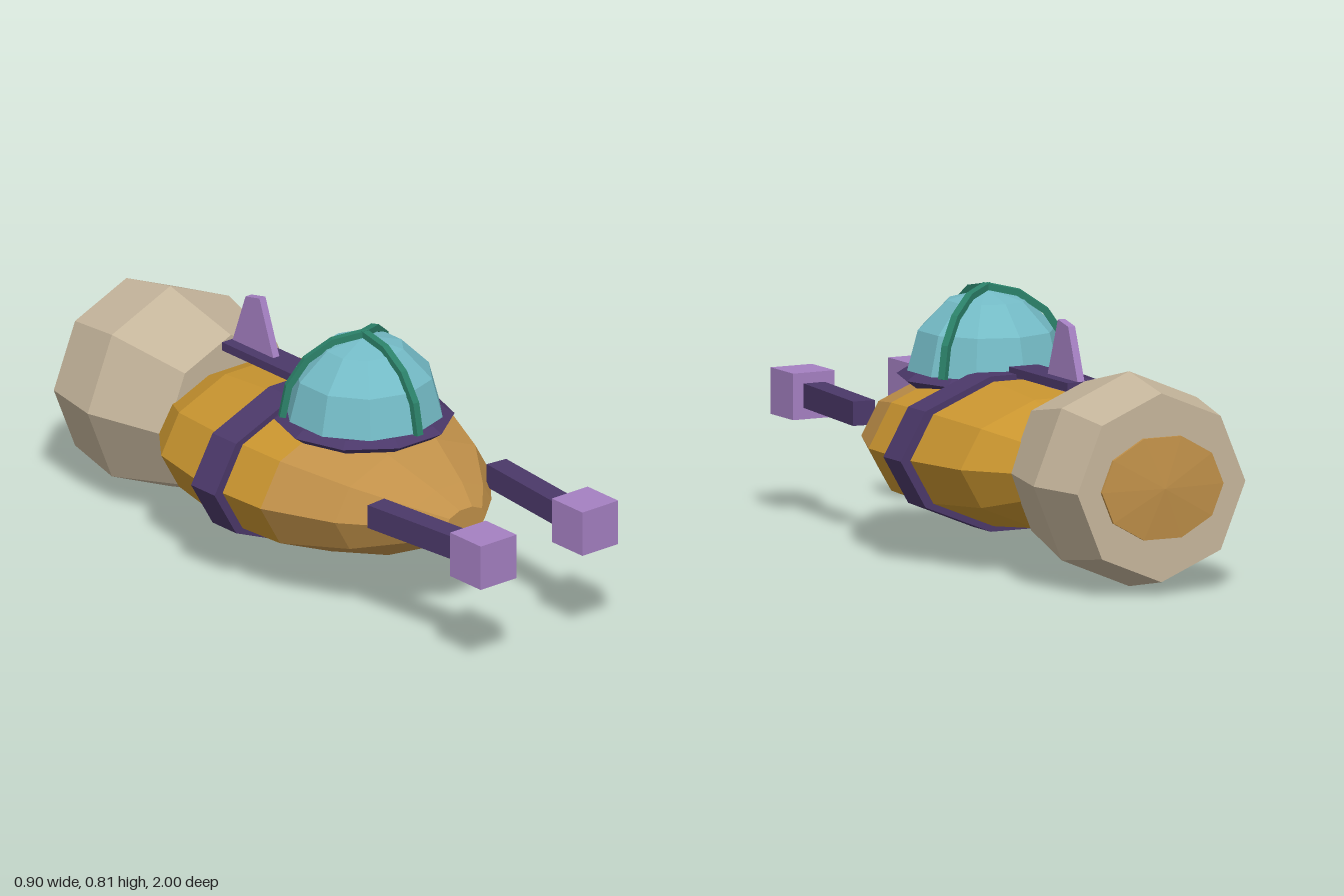
import * as THREE from 'three';

const paint = (name, color) => {
  const m = new THREE.MeshStandardMaterial({ color, flatShading: true });
  m.name = name;
  return m;
};

export function createModel() {
  const group = new THREE.Group();
  const gold = paint('gold', 0xc8942f);
  const tan = paint('tan', 0xc09049);
  const beige = paint('beige', 0xc6b69c);
  const darkPurple = paint('dark purple', 0x4b3869);
  const lilac = paint('lilac', 0xa580c2);
  const glass = paint('aqua', 0x74bbc6);
  const teal = paint('teal', 0x2b8169);

  const add = (name, geometry, material, x = 0, y = 0, z = 0) => {
    const mesh = new THREE.Mesh(geometry, material);
    mesh.name = name;
    mesh.position.set(x, y, z);
    group.add(mesh);
    return mesh;
  };

  // Faceted body turned about the z axis; points are [radius, z], back to front
  const turned = (points, sides, flatten = 1) =>
    new THREE.LatheGeometry(points.map(([r, z]) => new THREE.Vector2(r, z)), sides)
      .rotateY(Math.PI / 2)
      .rotateX(Math.PI / 2)
      .scale(1, flatten, 1);

  const axisY = 0.335;

  // Hull, nose and belt share a flattened ten-sided section
  add('hull', turned([[0, -0.62], [0.18, -0.62], [0.37, -0.38], [0.422, -0.12], [0.41, 0.13]], 10, 0.56), gold, 0, axisY);
  add('nose', turned([[0.41, 0.13], [0.31, 0.36], [0.17, 0.53], [0.08, 0.61], [0, 0.61]], 10, 0.56), tan, 0, axisY);
  add('hullBelt', turned([[0.41, -0.147], [0.45, -0.147], [0.45, -0.037], [0.41, -0.037]], 10, 0.557), darkPurple, 0, axisY);

  // Rear engine with a shallow exhaust cap
  add('engine', turned([[0, -0.975], [0.29, -0.975], [0.33, -0.77], [0.26, -0.487], [0, -0.487]], 8), beige, 0, axisY);
  add('exhaustCap', turned([[0, -1], [0.21, -0.984], [0.21, -0.97]], 10, 0.78), tan, 0, axisY);

  // Canopy dome and its collar
  const cz = 0.135, cy = 0.55, domeR = 0.245;
  add('canopy',
    new THREE.SphereGeometry(domeR, 10, 3, 0, Math.PI * 2, 0, Math.PI / 2).rotateY(Math.PI / 2),
    glass, 0, cy, cz);
  const collar = [[0.2, 0.505], [0.24, 0.505], [0.275, 0.53], [0.245, 0.55], [0.2, 0.55]];
  add('canopyCollar',
    new THREE.LatheGeometry(collar.map(([r, y]) => new THREE.Vector2(r, y)), 10).rotateY(Math.PI / 2),
    darkPurple, 0, 0, cz);

  // Three curved ribs, each made of four straight bars
  const ribR = 0.253, steps = 4;
  for (let i = 0; i < 3; i++) {
    const rib = new THREE.Group();
    rib.name = 'canopyRib';
    rib.position.set(0, cy, cz);
    rib.rotation.y = i * Math.PI * 2 / 3;
    const step = Math.PI / 2 / steps;
    for (let j = 0; j < steps; j++) {
      const a = (j + 0.5) * step;
      const bar = new THREE.Mesh(
        new THREE.BoxGeometry(0.023, 2 * ribR * Math.sin(step / 2) + 0.004, 0.02), teal);
      bar.name = 'ribBar';
      const r = ribR * Math.cos(step / 2);
      bar.position.set(0, r * Math.sin(a), r * Math.cos(a));
      bar.rotation.x = -a;
      rib.add(bar);
    }
    group.add(rib);
  }

  // Forward arms with cube tips
  for (const side of [1, -1]) {
    const arm = add('arm', new THREE.BoxGeometry(0.072, 0.075, 0.41), darkPurple, side * 0.22, 0.384, 0.675);
    arm.rotation.y = -side * 0.1;
    add('armTip', new THREE.BoxGeometry(0.143, 0.143, 0.143), lilac, side * 0.203, 0.383, 0.9285);
  }

  // Tail boom and upright fin
  add('tailBoom', new THREE.BoxGeometry(0.1, 0.027, 0.37), darkPurple, 0, 0.577, -0.285);
  const fin = new THREE.Shape(
    [[0.26, 0.55], [0.48, 0.55], [0.405, 0.752], [0.34, 0.766]].map(([u, v]) => new THREE.Vector2(u, v)));
  add('tailFin',
    new THREE.ExtrudeGeometry(fin, { depth: 0.024, bevelEnabled: false })
      .translate(0, 0, -0.012)
      .rotateY(Math.PI / 2),
    lilac);

  return group;
}
